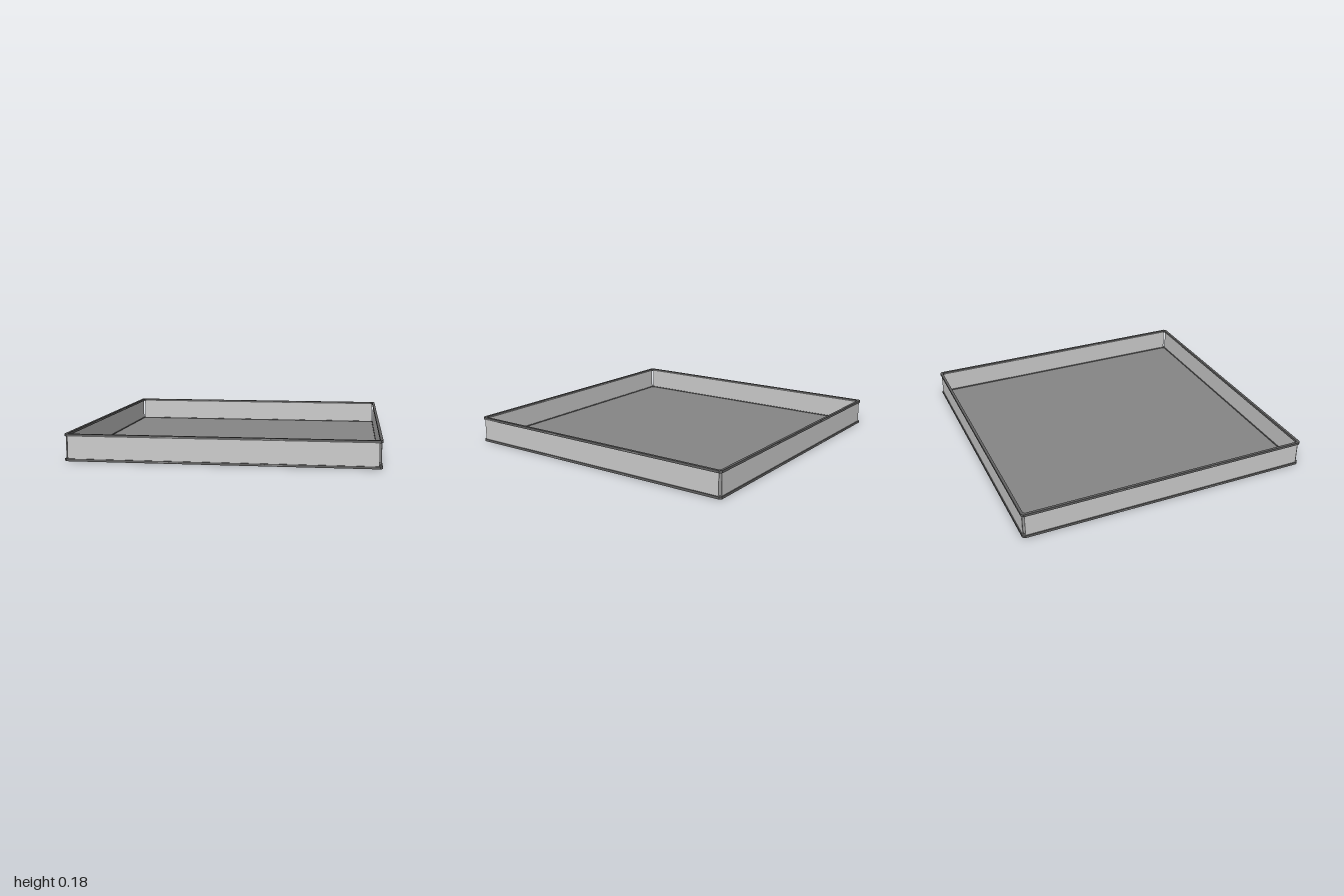
import * as THREE from 'three';

const EDGE = 0.991;   // centre line of walls and rails
const SPAN = 1.96;    // wall length, leaving the corners open
const LOW = 0.009, HIGH = 0.169;

export function createModel() {
  const model = new THREE.Group();
  const wallMat = new THREE.MeshStandardMaterial({ color: 0xcccccc });
  const floorMat = new THREE.MeshStandardMaterial({ color: 0x868686 });
  const railMat = new THREE.MeshStandardMaterial({ color: 0x606060 });

  const add = (parent, name, geo, mat, x, y, z) => {
    const mesh = new THREE.Mesh(geo, mat);
    mesh.name = name;
    mesh.position.set(x, y, z);
    parent.add(mesh);
  };

  // Square outline with small chamfered corners
  const outline = (r, c) => [
    [r - c, -r], [r, c - r], [r, r - c], [r - c, r],
    [c - r, r], [-r, r - c], [-r, c - r], [c - r, -r],
  ].map(([x, y]) => new THREE.Vector2(x, y));

  const slab = (shape, depth) =>
    new THREE.ExtrudeGeometry(shape, { depth, bevelEnabled: false }).rotateX(-Math.PI / 2);

  // Floor plate
  add(model, 'floor', slab(new THREE.Shape(outline(0.99, 0.012)), 0.006), floorMat, 0, 0.006, 0);

  // Lower and upper rim rails
  const rimShape = new THREE.Shape(outline(1, 0.014));
  rimShape.holes.push(new THREE.Path(outline(0.982, 0.01).reverse()));
  const rim = slab(rimShape, 0.016);
  add(model, 'lowerRail', rim, railMat, 0, LOW - 0.008, 0);
  add(model, 'upperRail', rim, railMat, 0, HIGH - 0.008, 0);

  // Four sides, each a thin wall with slim clips over the rail joints
  const panel = new THREE.BoxGeometry(SPAN, HIGH - LOW, 0.005);
  const clip = new THREE.BoxGeometry(0.13, 0.005, 0.019);
  ['frontWall', 'leftWall', 'backWall', 'rightWall'].forEach((name, i) => {
    const side = new THREE.Group();
    side.name = name;
    side.rotation.y = i * Math.PI / 2;
    add(side, 'wallPanel', panel, wallMat, 0, (LOW + HIGH) / 2, EDGE);
    for (const s of [-1, 1]) {
      for (const y of [LOW, HIGH]) add(side, 'railClip', clip, floorMat, s * 0.327, y, EDGE);
    }
    model.add(side);
  });
  return model;
}
